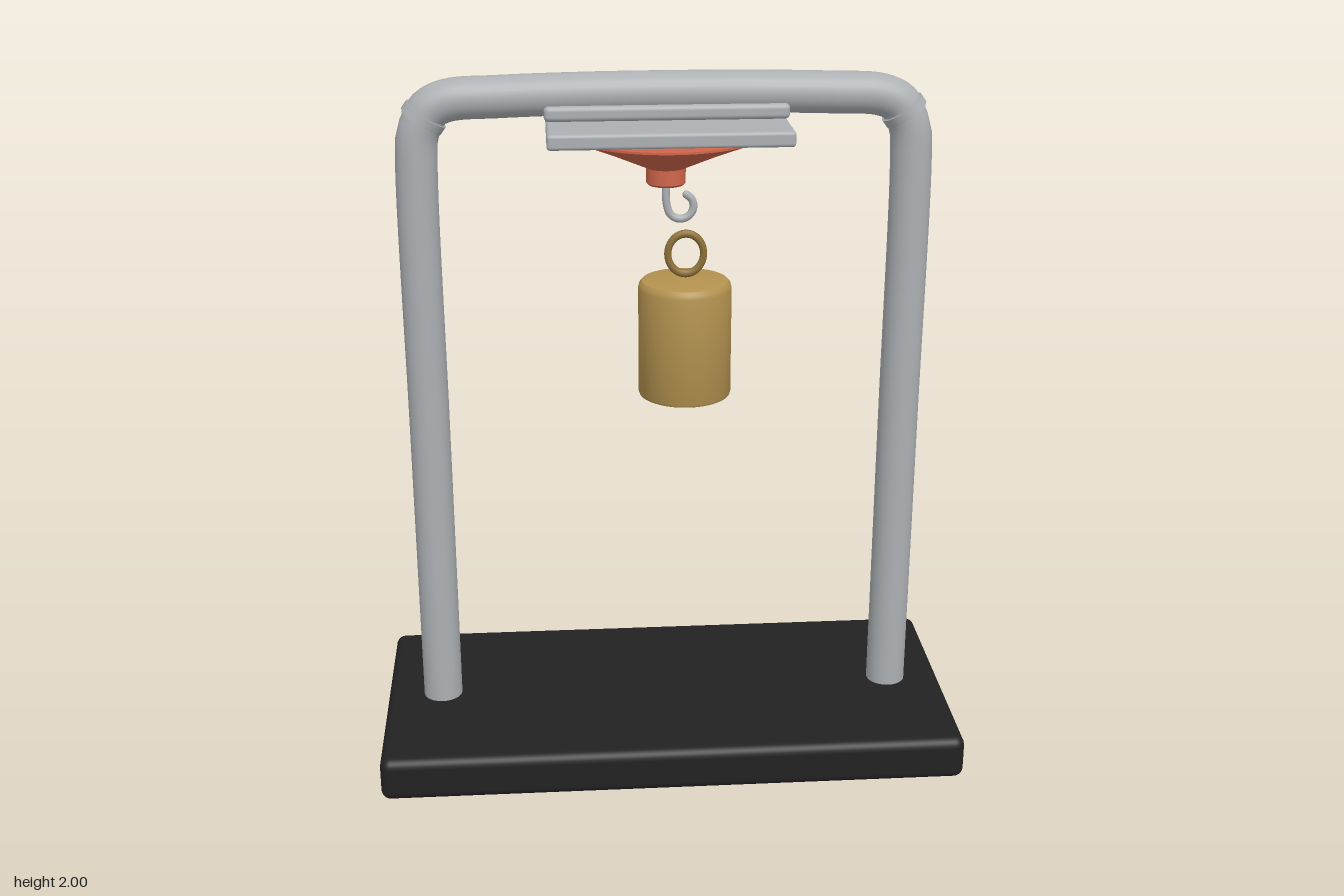
import * as THREE from 'three';
import { toCreasedNormals } from 'three/addons/utils/BufferGeometryUtils.js';
import { RoundedBoxGeometry } from 'three/addons/geometries/RoundedBoxGeometry.js';

const material = (name, color) => {
  const m = new THREE.MeshStandardMaterial({ color });
  m.name = name;
  return m;
};

export function createModel() {
  const group = new THREE.Group();
  const steel = material('steel grey', 0xacb0b3);
  const black = material('matte black', 0x222222);
  const rubber = material('red rubber', 0xcf664b);
  const brass = material('brass', 0xb3924f);
  const darkBrass = material('dark brass', 0x8c6f38);

  const add = (name, geometry, mat, x = 0, y = 0, z = 0) => {
    const mesh = new THREE.Mesh(geometry, mat);
    mesh.name = name;
    mesh.position.set(x, y, z);
    group.add(mesh);
    return mesh;
  };
  const path = (pts) => new THREE.CatmullRomCurve3(pts.map(([x, y]) => new THREE.Vector3(x, y, 0)), false, 'centripetal');
  const lathe = (pts, n = 64) =>
    toCreasedNormals(new THREE.LatheGeometry(pts.map(([x, y]) => new THREE.Vector2(x, y)), n), 0.5);
  const slab = (w, h, d, r) => new RoundedBoxGeometry(w, h, d, 3, r);

  // Base slab
  add('base', slab(1.68, 0.13, 0.78, 0.028), black, 0, 0.07, 0);

  // Upright posts and the elbow collars where the crossbar meets them
  for (const s of [-1, 1]) {
    add(s > 0 ? 'leftPost' : 'rightPost', new THREE.TubeGeometry(
      path([[s * 0.675, 0.1], [s * 0.675, 1.0], [s * 0.675, 1.76], [s * 0.668, 1.84], [s * 0.645, 1.89]]),
      48, 0.057, 28), steel);
    const collar = add(s > 0 ? 'leftCollar' : 'rightCollar',
      new THREE.CylinderGeometry(0.063, 0.063, 0.025, 28), steel, s * 0.65, 1.883, 0);
    collar.rotation.z = s * 0.62;
  }

  // Gently arched crossbar
  add('crossbar', new THREE.TubeGeometry(
    path([[-0.66, 1.868], [-0.635, 1.905], [-0.585, 1.928], [-0.45, 1.936], [-0.2, 1.942], [0, 1.943],
      [0.2, 1.942], [0.45, 1.936], [0.585, 1.928], [0.635, 1.905], [0.66, 1.868]]),
    96, 0.057, 28), steel);

  // Mounting strip and plate
  add('mountStrip', slab(0.66, 0.042, 0.13, 0.014), steel, 0, 1.897, 0);
  add('mountPlate', slab(0.65, 0.042, 0.445, 0.01), steel, 0, 1.855, 0);

  // Suction cup with its neck
  add('suctionCup', lathe([[0, 1.69], [0.048, 1.69], [0.054, 1.696], [0.054, 1.738],
    [0.16, 1.785], [0.27, 1.83], [0.27, 1.836], [0, 1.836]]), rubber);

  // Hook
  const hookPoints = [[0, 1.7], [0, 1.65]];
  for (let i = 0; i <= 8; i++) {
    const a = Math.PI + 0.15 + (i / 8) * 4.1;
    hookPoints.push([0.04 + 0.036 * Math.cos(a), 1.628 + 0.036 * Math.sin(a)]);
  }
  add('hook', new THREE.TubeGeometry(path(hookPoints), 64, 0.011, 14), steel);
  const [tipX, tipY] = hookPoints[hookPoints.length - 1];
  add('hookTip', new THREE.SphereGeometry(0.011, 14, 10), steel, tipX, tipY, 0);

  // Hanging weight with softened rims and an oval ring
  add('weight', lathe([[0, 1.08], [0.122, 1.08], [0.128, 1.083], [0.131, 1.09], [0.131, 1.395],
    [0.128, 1.407], [0.12, 1.416], [0.105, 1.42], [0, 1.42]]), brass, 0.053, 0, 0);
  const ring = add('ring', new THREE.TorusGeometry(0.05, 0.01, 16, 48), darkBrass, 0.055, 1.492, 0);
  ring.scale.y = 1.14;

  return group;
}
